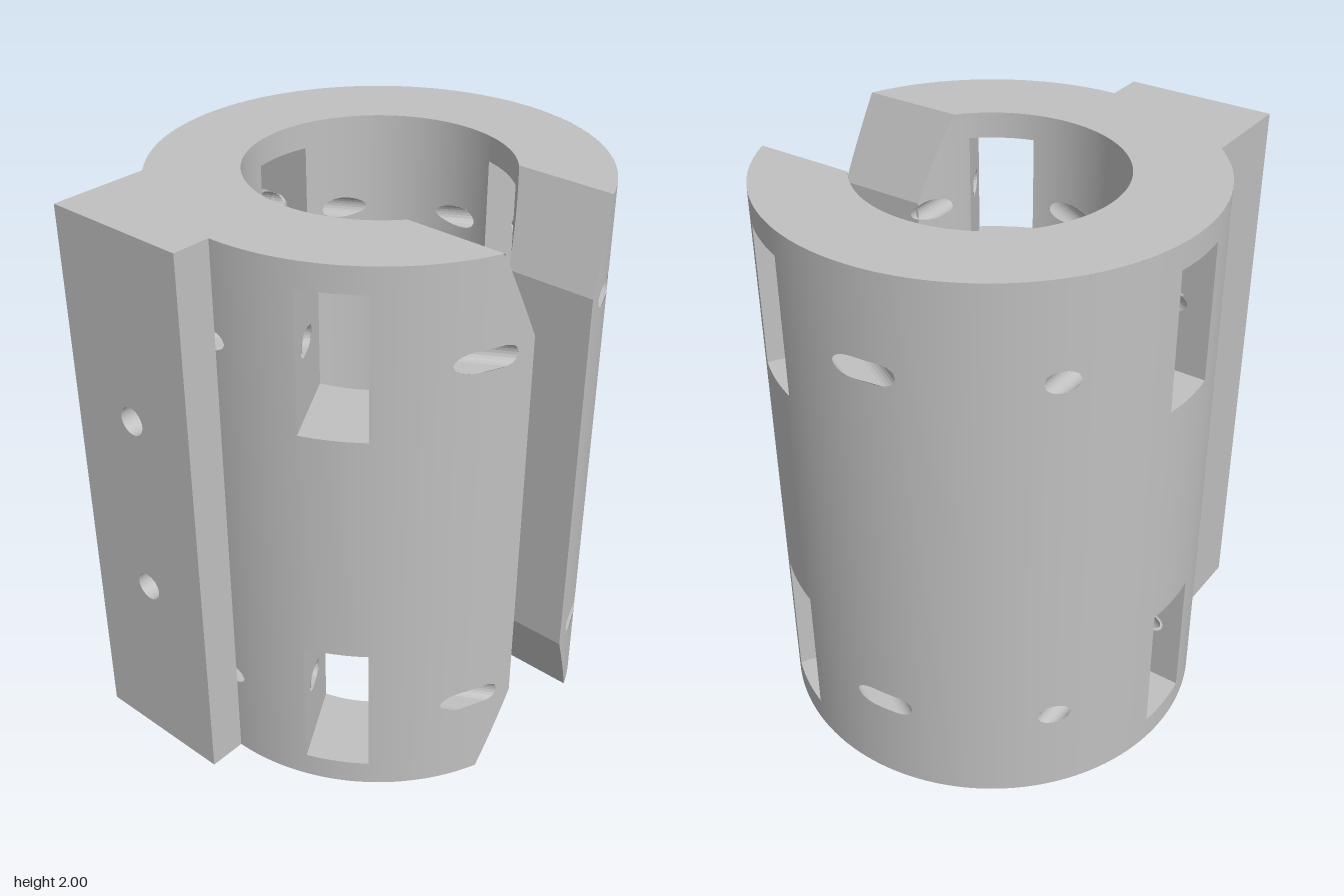
import * as THREE from 'three';

const R = 0.755, r = 0.445;              // outer and bore radius
const H = 2, LEVELS = [0.335, 1.665];    // height, centres of the window rows
const GAP = 0.155, GAP_END = 0.28, CH = 0.3; // half gap, half gap at the ends, chamfer height
const WT = 0.11, WH = 0.245;             // half width and half height of windows
const PIN = 0.037, CHORD = 0.39;         // pin hole radius, distance of the chord holes
const BX = -0.53, BZ = 0.89;             // mounting block side and front
const deg = Math.PI / 180;
const leg = (c, a) => Math.sqrt(Math.max(c * c - a * a, 0));

export function createModel() {
  const body = new THREE.MeshStandardMaterial({ color: 0xc0c0c0 });
  body.name = 'light grey';
  body.side = THREE.DoubleSide;
  const root = new THREE.Group();
  root.name = 'splitCollar';
  const core = new THREE.Group();
  core.name = 'collarBody';
  core.position.set(0.005, 0, -0.07);
  root.add(core);

  const add = (geo, name, parent = core) => {
    const m = new THREE.Mesh(geo, body);
    m.name = name;
    parent.add(m);
    return m;
  };
  // quads: list of four-corner loops
  const quads = (list) => {
    const p = [];
    for (const [a, b, c, d] of list) p.push(...a, ...b, ...c, ...a, ...c, ...d);
    const g = new THREE.BufferGeometry();
    g.setAttribute('position', new THREE.Float32BufferAttribute(p, 3));
    g.computeVertexNormals();
    return g;
  };

  // Cylindrical wall with openings; each opening gives its half height at an angle
  const wall = (rad, a0, a1, openings, outward, name) => {
    const cuts = [];
    const n = Math.ceil((a1 - a0) / (0.75 * deg));
    for (let i = 0; i <= n; i++) cuts.push(a0 + ((a1 - a0) * i) / n);
    for (const o of openings) for (const e of [o.a, o.b]) if (e > a0 && e < a1) cuts.push(e);
    cuts.sort((p, q) => p - q);
    const low = (t) => Math.cos(t) > 0
      ? Math.min(CH, Math.max(0, (CH * (GAP_END - rad * Math.abs(Math.sin(t)))) / (GAP_END - GAP))) : 0;
    const at = (t, y) => [rad * Math.cos(t), y, rad * Math.sin(t)];
    const list = [];
    for (let i = 0; i + 1 < cuts.length; i++) {
      const u = cuts[i], v = cuts[i + 1], mid = (u + v) / 2;
      if (v - u < 1e-6) continue;
      const o = openings.find((k) => mid > k.a && mid < k.b);
      const ys = (t) => o
        ? [low(t), ...LEVELS.flatMap((c) => [c - o.half(t), c + o.half(t)]), H - low(t)]
        : [low(t), H - low(t)];
      const yu = ys(u), yv = ys(v);
      for (let k = 0; k < yu.length; k += 2) {
        const q = [at(u, yu[k]), at(v, yv[k]), at(v, yv[k + 1]), at(u, yu[k + 1])];
        list.push(outward ? q.reverse() : q);
      }
    }
    const g = quads(list), pos = g.attributes.position, s = (outward ? 1 : -1) / rad;
    for (let i = 0; i < pos.count; i++) g.attributes.normal.setXYZ(i, pos.getX(i) * s, 0, pos.getZ(i) * s);
    add(g, name);
  };

  // Openings where windows and pin holes meet a wall
  const windowCut = (rad, phi) => {
    const w = Math.asin(WT / rad);
    return { a: phi - w, b: phi + w, half: () => WH };
  };
  const stadium = (d, d0, d1) => {
    const off = Math.max(d0 + PIN - d, d - (d1 - PIN), 0);
    return leg(PIN, Math.min(off, PIN));
  };
  const pinCuts = (rad, phi, d0, d1) => [1, -1].map((s) => {
    const e = [phi + s * Math.acos(d0 / rad), phi + s * Math.acos(d1 / rad)].sort((p, q) => p - q);
    return { a: e[0], b: e[1], half: (t) => stadium(rad * Math.cos(t - phi), d0, d1) };
  });
  // the same opening one full turn away, so that any range is covered
  const wrap = (list) => list.flatMap((o) => [-1, 0, 1].map((k) => ({
    a: o.a + k * 2 * Math.PI, b: o.b + k * 2 * Math.PI, half: o.half,
  })));

  const stations = [60, 180, 300].map((a) => ({ phi: a * deg, d0: 0.546, d1: a === 180 ? 0.62 : 0.672 }));
  const outerCuts = wrap(stations.flatMap((s) => [windowCut(R, s.phi), ...pinCuts(R, s.phi, s.d0, s.d1)]));
  const boreCuts = wrap(stations.flatMap((s) => [
    windowCut(r, s.phi), ...pinCuts(r, s.phi + Math.PI, CHORD - PIN, CHORD + PIN)]));

  const endO = Math.asin(GAP / R), endI = Math.asin(GAP / r);
  const blockZ = leg(R, BX), blockA = Math.atan2(blockZ, BX);
  wall(R, endO, Math.PI / 2, outerCuts, true, 'outerWallFront');
  wall(R, blockA, 2 * Math.PI - endO, outerCuts, true, 'outerWallBack');
  wall(r, endI, 2 * Math.PI - endI, boreCuts, false, 'boreWall');

  // End faces
  const capA = Math.asin(GAP_END / R), capB = Math.asin(GAP_END / r);
  const cap = new THREE.Shape();
  const arc = (rad, a, b) => {
    for (let i = 0; i <= 90; i++) {
      const t = a + ((b - a) * i) / 90;
      const x = rad * Math.cos(t), z = rad * Math.sin(t);
      if (cap.curves.length || cap.currentPoint.lengthSq()) cap.lineTo(x, z); else cap.moveTo(x, z);
    }
  };
  arc(R, capA, Math.PI / 2);
  cap.lineTo(0, BZ);
  cap.lineTo(BX, BZ);
  arc(R, blockA, 2 * Math.PI - capA);
  arc(r, 2 * Math.PI - capB, capB);
  const bottom = new THREE.ShapeGeometry(cap).rotateX(Math.PI / 2);
  add(bottom, 'bottomFace');
  const top = bottom.clone();
  top.index.array.reverse();
  top.computeVertexNormals();
  add(top, 'topFace').position.y = H;

  // Gap faces with chamfers towards both ends
  for (const s of [1, -1]) {
    const rows = [];
    for (let i = 0; i <= 8; i++) rows.push([(CH * i) / 8, GAP_END - ((GAP_END - GAP) * i) / 8]);
    rows.push(...rows.map(([y, h]) => [H - y, h]).reverse());
    const list = [];
    for (let i = 0; i + 1 < rows.length; i++) {
      const [[y0, h0], [y1, h1]] = [rows[i], rows[i + 1]];
      const q = [[leg(r, h0), y0, s * h0], [leg(R, h0), y0, s * h0], [leg(R, h1), y1, s * h1], [leg(r, h1), y1, s * h1]];
      list.push(s > 0 ? q.reverse() : q);
    }
    add(quads(list), s > 0 ? 'gapFaceFront' : 'gapFaceBack');
  }

  // Mounting block with two blind screw holes
  const front = new THREE.Shape([[BX, 0], [0, 0], [0, H], [BX, H]].map((p) => new THREE.Vector2(...p)));
  for (const y of [0.67, 1.335]) {
    front.holes.push(new THREE.Path().absarc(BX / 2, y, 0.05, 0, 2 * Math.PI, true));
    const liner = new THREE.CylinderGeometry(0.05, 0.05, 0.25, 32, 1, true).rotateX(Math.PI / 2);
    add(liner, 'screwHole').position.set(BX / 2, y, BZ - 0.125);
    add(new THREE.CircleGeometry(0.05, 32), 'screwHoleEnd').position.set(BX / 2, y, BZ - 0.25);
  }
  add(new THREE.ShapeGeometry(front, 24), 'blockFront').position.z = BZ;
  add(quads([
    [[BX, 0, blockZ], [BX, 0, BZ], [BX, H, BZ], [BX, H, blockZ]],
    [[0, 0, BZ], [0, 0, R], [0, H, R], [0, H, BZ]],
  ]), 'blockSides');

  // Tunnel of stadium section running along local z, trimmed by two rules
  const tunnel = (d0, d1, y, from, to, sign) => {
    const ring = [], n = 24;
    for (let i = 0; i <= n; i++) {
      const t = -Math.PI / 2 + (2 * Math.PI * i) / n;
      const c = i < n / 2 || i === n ? d1 - PIN : d0 + PIN;
      ring.push([c + PIN * Math.cos(t), y + PIN * Math.sin(t)]);
    }
    return ring.slice(1).map(([d, h], i) => {
      const [e, k] = ring[i];
      const q = [[e, k, sign * from(e)], [d, h, sign * from(d)], [d, h, sign * to(d)], [e, k, sign * to(e)]];
      return sign > 0 ? q.reverse() : q;
    });
  };

  // Radial windows and pin holes at each station
  for (const { phi, d0, d1 } of stations) {
    const station = new THREE.Group();
    station.name = 'windowStation';
    station.rotation.y = -phi;
    core.add(station);
    const chord = new THREE.Group();
    chord.name = 'chordHoles';
    chord.rotation.y = -(phi + Math.PI);
    core.add(chord);
    const s0 = leg(r, WT), s1 = leg(R, WT);
    for (const y of LEVELS) {
      const side = new THREE.Shape([[s0, y - WH], [s1, y - WH], [s1, y + WH], [s0, y + WH]]
        .map((p) => new THREE.Vector2(...p)));
      const slot = new THREE.Path();
      slot.absarc(0.672 - PIN, y, PIN, -Math.PI / 2, Math.PI / 2, false);
      slot.absarc(0.53 + PIN, y, PIN, Math.PI / 2, 1.5 * Math.PI, false);
      side.holes.push(slot);
      const floors = [];
      for (let i = 0; i < 8; i++) {
        const u = WT * (i / 4 - 1), v = WT * ((i + 1) / 4 - 1);
        for (const k of [-1, 1]) {
          const h = y + k * WH;
          const q = [[leg(r, u), h, u], [leg(r, v), h, v], [leg(R, v), h, v], [leg(R, u), h, u]];
          floors.push(k < 0 ? q : q.reverse());
        }
      }
      add(quads(floors), 'windowFloorAndCeiling', station);
      for (const k of [1, -1]) {
        add(new THREE.ShapeGeometry(side), 'windowSide', station).position.z = k * WT;
        add(quads(tunnel(d0, d1, y, () => WT, (d) => leg(R, d), k)), 'pinHole', station);
        add(quads(tunnel(CHORD - PIN, CHORD + PIN, y, (d) => leg(r, d),
          (d) => (d * Math.sin(60 * deg) - WT) / 0.5, k)), 'chordHole', chord);
      }
    }
  }
  return root;
}
